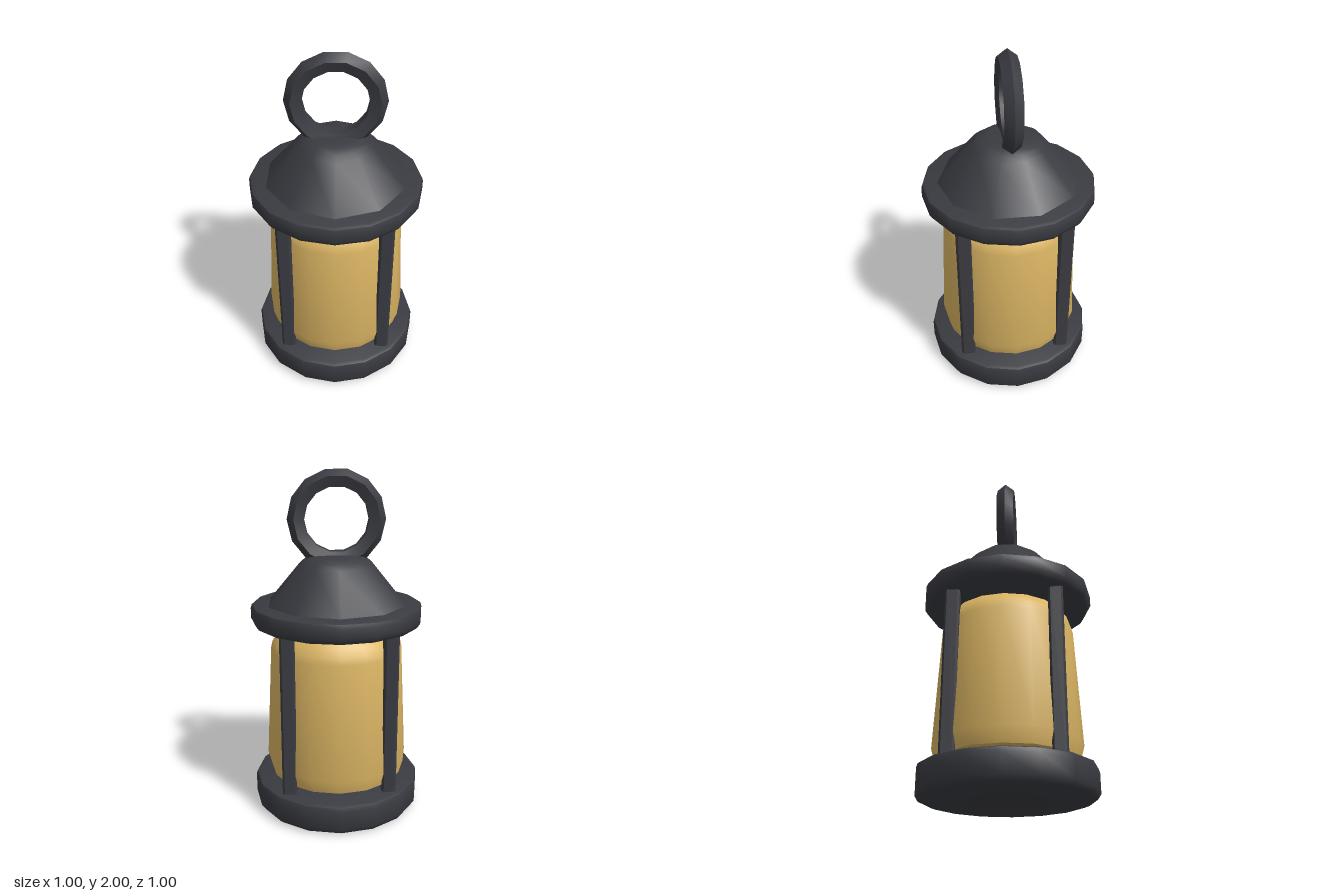
import * as THREE from 'three';
import { toCreasedNormals } from 'three/addons/utils/BufferGeometryUtils.js';

const iron = new THREE.MeshStandardMaterial({ color: 0x3a3b41 });
iron.name = 'dark iron';
const amber = new THREE.MeshStandardMaterial({ color: 0xdbb563 });
amber.name = 'amber glass';

export function createModel() {
  const model = new THREE.Group();
  model.name = 'lantern';

  const add = (name, geometry, material) => {
    const mesh = new THREE.Mesh(toCreasedNormals(geometry, 0.7), material);
    mesh.name = name;
    model.add(mesh);
    return mesh;
  };
  // Profiles are [radius, height] pairs running upward
  const turned = (name, profile, sides, material) =>
    add(name, new THREE.LatheGeometry(profile.map(([r, y]) => new THREE.Vector2(r, y)), sides), material);

  // Round slabs with softened rims
  const slab = (name, y0, y1) => turned(name, [
    [0, y0], [0.45, y0], [0.482, y0 + 0.012], [0.5, y0 + 0.04],
    [0.5, y1 - 0.03], [0.493, y1 - 0.008], [0.475, y1], [0, y1],
  ], 16, iron);
  slab('base', 0, 0.182);
  slab('roofRim', 1.12, 1.248);

  // Ten-sided domed roof
  turned('roof', [
    [0.415, 1.24], [0.22, 1.472], [0.19, 1.498], [0.155, 1.517], [0.12, 1.525], [0, 1.525],
  ], 10, iron);

  // Glass, slightly wider at the bottom
  turned('glass', [
    [0, 0.185], [0.33, 0.19], [0.4, 0.217], [0.423, 0.3],
    [0.388, 0.98], [0.378, 1.02], [0.35, 1.062], [0.325, 1.09], [0, 1.09],
  ], 16, amber);

  // Four posts with chamfered corners
  const h = 0.042, c = 0.03;
  const section = new THREE.Shape([
    [h, -c], [h, c], [c, h], [-c, h], [-h, c], [-h, -c], [-c, -h], [c, -h],
  ].map(([x, y]) => new THREE.Vector2(x, y)));
  for (const x of [-1, 1]) for (const z of [-1, 1]) {
    const geometry = new THREE.ExtrudeGeometry(section, { depth: 1.0, bevelEnabled: false });
    geometry.rotateX(-Math.PI / 2);
    const side = (z > 0 ? 'front' : 'back') + (x > 0 ? 'Left' : 'Right');
    add(side + 'Post', geometry, iron).position.set(x * 0.288, 0.15, z * 0.288);
  }

  // Hanging ring
  add('hangingRing', new THREE.TorusGeometry(0.227, 0.054, 5, 14), iron).position.y = 1.726;

  return model;
}
